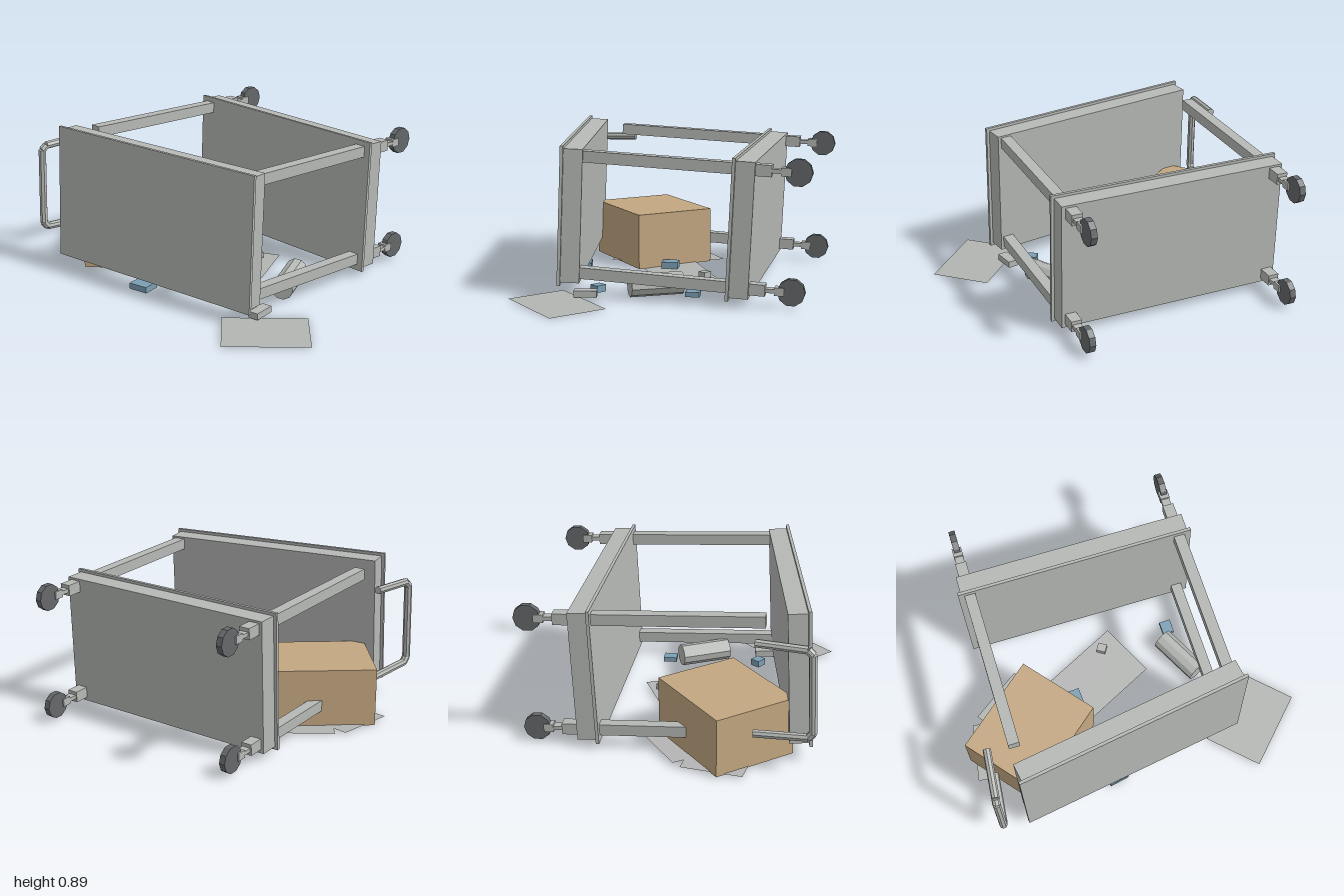
import * as THREE from 'three';

const mat = (name, color, extra = {}) => {
  const m = new THREE.MeshStandardMaterial({ color, flatShading: true, ...extra });
  m.name = name;
  return m;
};

export function createModel() {
  const steel = mat('steel grey', 0xb6b9b6);
  const rubber = mat('wheel dark grey', 0x65686a);
  const cardboard = mat('cardboard tan', 0xc3a781);
  const blue = mat('pale blue', 0x7c9fb4);
  const paper = mat('paper grey', 0xb3b5b3, { side: THREE.DoubleSide });

  const model = new THREE.Group();
  model.name = 'toppledCart';

  const group = (name, parent = model) => {
    const g = new THREE.Group();
    g.name = name;
    parent.add(g);
    return g;
  };
  const add = (parent, name, geo, material, x, y, z) => {
    const m = new THREE.Mesh(geo, material);
    m.name = name;
    m.position.set(x, y, z);
    parent.add(m);
    return m;
  };
  const box = (parent, name, material, size, pos, yaw = 0) => {
    const m = add(parent, name, new THREE.BoxGeometry(...size), material, ...pos);
    m.rotation.y = yaw;
    return m;
  };
  // faceted rod between two points
  const rod = (parent, name, material, a, b, r, sides) => {
    const d = b.clone().sub(a);
    const m = add(parent, name, new THREE.CylinderGeometry(r, r, d.length(), sides), material, 0, 0, 0);
    m.position.copy(a).addScaledVector(d, 0.5);
    m.quaternion.setFromUnitVectors(new THREE.Vector3(0, 1, 0), d.normalize());
    return m;
  };
  // shelf: thin wide plate with a slightly smaller slab behind it
  const tray = (parent, name) => {
    const g = group(name, parent);
    box(g, 'shelfPlate', steel, [1.39, 0.79, 0.018], [0, 0, -0.009]);
    box(g, 'shelfBody', steel, [1.355, 0.757, 0.106], [0, 0, -0.071]);
    return g;
  };

  // Cart frame lying on its side, tipped slightly backwards
  const frame = group('cartFrame');
  frame.rotation.x = -0.047;
  tray(frame, 'lowerShelf').position.set(-0.105, 0.456, -0.383);

  for (const x of [-0.733, 0.52]) {
    for (const y of [0.13, 0.79]) {
      const front = x < 0 ? 0.55 : 0.49;
      box(frame, 'leg', steel, [0.064, 0.064, front + 0.595], [x, y, (front - 0.595) / 2]);
      // caster
      const caster = group('caster', frame);
      caster.position.set(x, y, -0.595);
      box(caster, 'casterStem', steel, [0.05, 0.022, 0.07], [0, 0, -0.035]);
      box(caster, 'casterFork', steel, [0.055, 0.045, 0.055], [0, 0, -0.078]);
      const wheel = add(caster, 'wheel', new THREE.CylinderGeometry(0.077, 0.077, 0.036, 10), rubber, 0, 0, -0.143);
      wheel.rotation.z = Math.PI / 2;
    }
  }

  // Upper shelf, knocked askew
  const upper = tray(model, 'upperShelf');
  upper.position.set(-0.08, 0.488, 0.658);
  upper.rotation.set(-0.042, 0.16, -0.012, 'YXZ');

  // Push handle: U-shaped faceted bar
  const handle = group('handle');
  const pts = [
    [-0.882, 0.75, 0.47], [-0.909, 0.74, 0.745], [-0.913, 0.715, 0.772],
    [-0.915, 0.265, 0.788], [-0.911, 0.235, 0.765], [-0.882, 0.222, 0.47],
  ].map((p) => new THREE.Vector3(...p));
  for (let i = 0; i < pts.length - 1; i++) rod(handle, 'handleBar', steel, pts[i], pts[i + 1], 0.023, 8);

  // Cardboard box
  box(model, 'cardboardBox', cardboard, [0.6, 0.338, 0.5], [-0.612, 0.177, 0.29], 0.693);

  // Fallen roll
  rod(model, 'roll', steel, new THREE.Vector3(0.337, 0.075, -0.095), new THREE.Vector3(0.477, 0.075, 0.175), 0.065, 10);

  // Loose sheets: centre x, y, z, length, width, yaw, tilt about x and z
  const sheets = [
    [0.70, 0.008, 0.535, 0.48, 0.35, 0.8, 0.004, -0.016],
    [-0.14, 0.014, 0.016, 0.566, 0.35, 0.46, 0.02, 0.01],
    [-0.58, 0.012, 0.165, 0.57, 0.357, -0.95, 0, 0],
    [-0.68, 0.014, 0.30, 0.57, 0.35, -0.16, 0, 0],
  ];
  for (const [x, y, z, l, w, yaw, tx, tz] of sheets) {
    const s = add(model, 'sheet', new THREE.PlaneGeometry(l, w).rotateX(-Math.PI / 2), paper, x, y, z);
    s.rotation.set(tx, yaw, tz, 'YXZ');
  }

  // Small blue blocks
  box(model, 'blueBlock', blue, [0.068, 0.028, 0.08], [0.392, 0.028, -0.172], 0.03);
  box(model, 'blueBlock', blue, [0.08, 0.04, 0.1], [-0.287, 0.034, 0.108], 0.06);
  box(model, 'blueBlock', blue, [0.066, 0.04, 0.06], [0.397, 0.034, 0.38], -0.6);
  box(model, 'blueBlock', blue, [0.12, 0.036, 0.1], [-0.19, 0.032, 0.635], 0.2);

  // Small grey blocks
  box(model, 'greyBlock', steel, [0.055, 0.036, 0.05], [-0.037, 0.04, -0.155], -0.55);
  box(model, 'greyBlock', steel, [0.06, 0.038, 0.13], [0.54, 0.036, 0.415], 0.15);

  return model;
}
